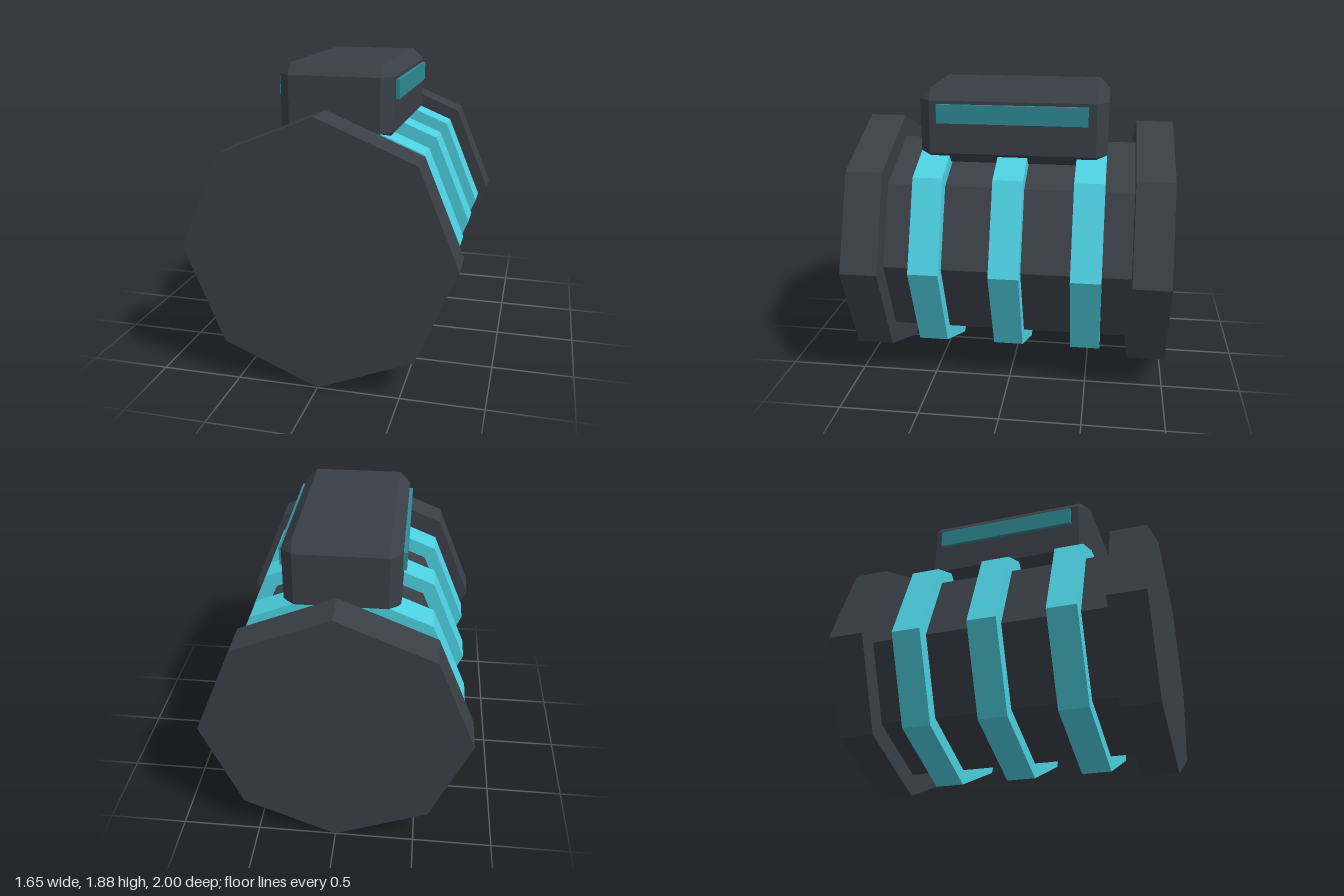
import * as THREE from 'three';
import { ConvexGeometry } from 'three/addons/geometries/ConvexGeometry.js';

const AXIS_Y = 0.824;

// Eight-sided drum lying along z, with a corner pointing up
function drum(name, radius, length, z, material) {
  const geometry = new THREE.CylinderGeometry(radius, radius, length, 8).toNonIndexed();
  geometry.rotateX(Math.PI / 2);
  geometry.computeVertexNormals();
  const mesh = new THREE.Mesh(geometry, material);
  mesh.name = name;
  mesh.position.set(0, AXIS_Y, z);
  return mesh;
}

// Box with every edge cut by one flat chamfer
function chamferedBox(width, height, depth, c) {
  const points = [];
  for (const sx of [-1, 1]) for (const sy of [-1, 1]) for (const sz of [-1, 1]) {
    const x = width / 2, y = height / 2, z = depth / 2;
    points.push(
      new THREE.Vector3(sx * x, sy * (y - c), sz * (z - c)),
      new THREE.Vector3(sx * (x - c), sy * y, sz * (z - c)),
      new THREE.Vector3(sx * (x - c), sy * (y - c), sz * z)
    );
  }
  return new ConvexGeometry(points);
}

export function createModel() {
  const model = new THREE.Group();
  model.name = 'bandedCanister';

  const casing = new THREE.MeshStandardMaterial({ color: 0x3a3f47, flatShading: true });
  casing.name = 'dark casing';
  const glow = new THREE.MeshStandardMaterial({ color: 0x4dd0e1, flatShading: true });
  glow.name = 'bright cyan';
  const teal = new THREE.MeshStandardMaterial({ color: 0x2f8a94, flatShading: true });
  teal.name = 'deep teal';

  // Core and the two wider end caps
  model.add(drum('core', 0.68, 1.6, 0, casing));
  for (const side of [-1, 1]) {
    model.add(drum(side > 0 ? 'frontCap' : 'backCap', 0.824, 0.232, side * 0.884, casing));
  }

  // Raised bands around the core
  [-0.495, 0, 0.495].forEach((z, i) => {
    model.add(drum(`band${i + 1}`, 0.777, 0.187, z, glow));
  });

  // Chamfered housing on top
  const housing = new THREE.Mesh(chamferedBox(0.704, 0.472, 1.18, 0.07), casing);
  housing.name = 'topHousing';
  housing.position.y = 1.648;
  model.add(housing);

  // Long strip on each side of the housing
  for (const side of [-1, 1]) {
    const strip = new THREE.Mesh(new THREE.BoxGeometry(0.04, 0.117, 0.94), teal);
    strip.name = side > 0 ? 'leftStrip' : 'rightStrip';
    strip.position.set(side * 0.355, 1.735, 0);
    model.add(strip);
  }

  return model;
}
